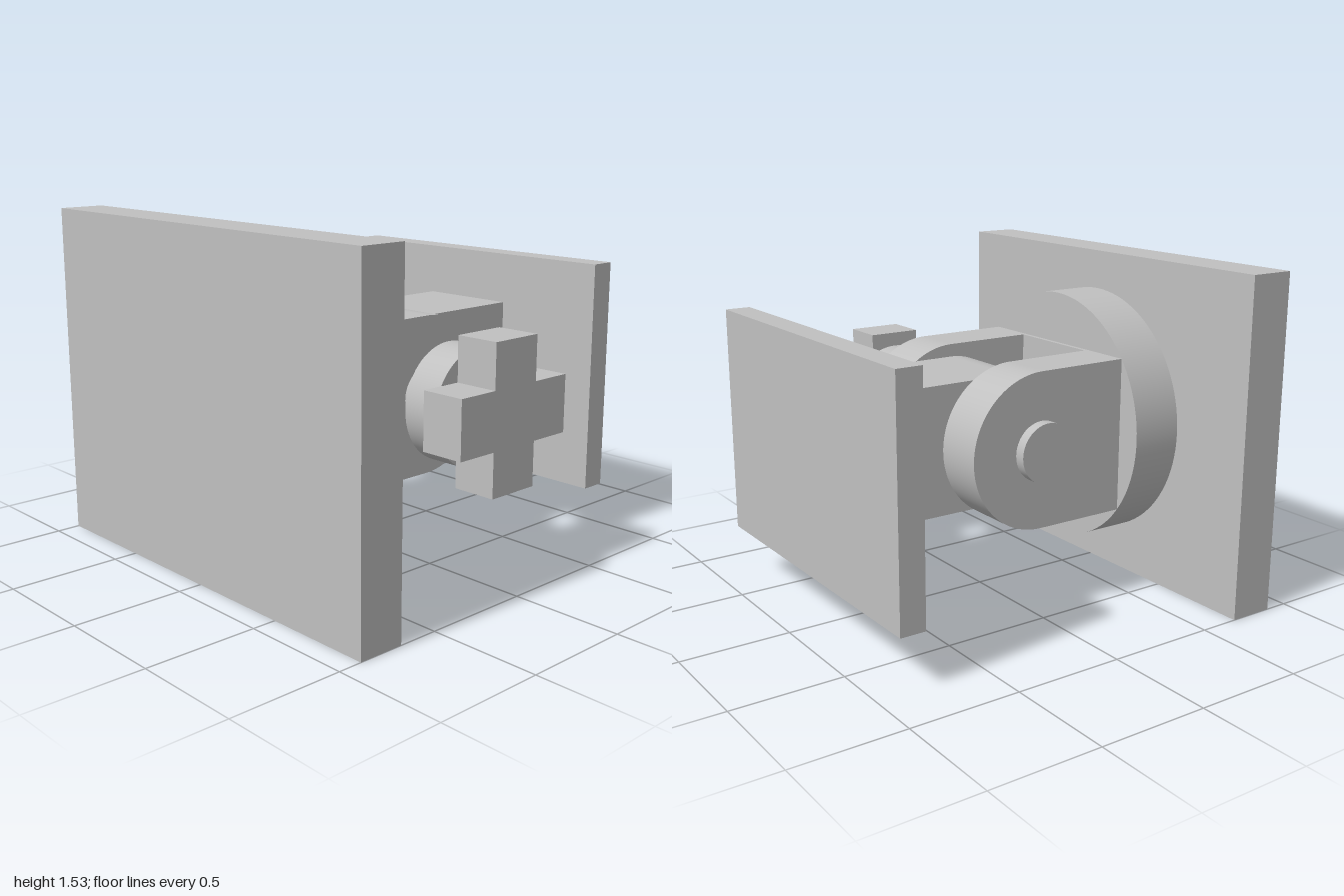
import * as THREE from 'three';
import { toCreasedNormals } from 'three/addons/utils/BufferGeometryUtils.js';

const AXIS_Y = 0.767; // height of the hinge axis, which runs along x at z = 0

export function createModel() {
  const model = new THREE.Group();
  model.name = 'hingedMount';
  const grey = new THREE.MeshStandardMaterial({ color: 0xc0c0c0 });
  grey.name = 'grey';

  const add = (name, geometry, x, z) => {
    const mesh = new THREE.Mesh(geometry, grey);
    mesh.name = name;
    mesh.position.set(x, AXIS_Y, z);
    model.add(mesh);
  };

  // Box between two z values, centred on the hinge height
  const plate = (name, width, height, z0, z1) =>
    add(name, new THREE.BoxGeometry(width, height, z1 - z0), 0, (z0 + z1) / 2);

  // Cylinder along x between two x values
  const rod = (name, radius, x0, x1) =>
    add(name, new THREE.CylinderGeometry(radius, radius, x1 - x0, 64).rotateZ(Math.PI / 2), (x0 + x1) / 2, 0);

  // Slab with a half-round end on the hinge axis; dir is the z side of its straight tail
  const tongue = (name, radius, tail, width, x, dir) => {
    const shape = new THREE.Shape();
    shape.moveTo(-tail, -radius);
    shape.lineTo(0, -radius);
    shape.absarc(0, 0, radius, -Math.PI / 2, Math.PI / 2, false);
    shape.lineTo(-tail, radius);
    shape.closePath();
    const geometry = new THREE.ExtrudeGeometry(shape, { depth: width, bevelEnabled: false, curveSegments: 40 });
    geometry.translate(0, 0, -width / 2).rotateY(dir * Math.PI / 2);
    add(name, toCreasedNormals(geometry, 0.5), x, 0);
  };

  // Front plate with its round boss
  plate('frontPlate', 2, 1.534, 0.683, 0.893);
  add('roundBoss', new THREE.CylinderGeometry(0.587, 0.587, 0.243, 96).rotateX(Math.PI / 2), 0, 0.5615);

  // Fork: thin web and two lugs
  plate('forkWeb', 0.47, 0.704, 0.42, 0.44);
  for (const side of [1, -1]) {
    tongue(side > 0 ? 'leftLug' : 'rightLug', 0.352, 0.44, 0.235, side * 0.3525, 1);
  }

  // Arm between the lugs, and the back plate it carries
  tongue('arm', 0.293, 0.776, 0.468, 0, -1);
  plate('backPlate', 1.526, 1.056, -0.893, -0.776);

  // Hinge pin, collar and cross-shaped hand knob
  rod('hingePin', 0.135, -0.52, 0.6);
  rod('knobCollar', 0.258, 0.592, 0.76);
  const a = 0.127, b = 0.324;
  const cross = new THREE.Shape([
    [a, a], [a, b], [-a, b], [-a, a], [-b, a], [-b, -a],
    [-a, -a], [-a, -b], [a, -b], [a, -a], [b, -a], [b, a],
  ].map(([u, v]) => new THREE.Vector2(u, v)));
  const crossGeometry = new THREE.ExtrudeGeometry(cross, { depth: 0.202, bevelEnabled: false });
  add('crossKnob', crossGeometry.rotateY(Math.PI / 2), 0.759, 0);

  return model;
}
